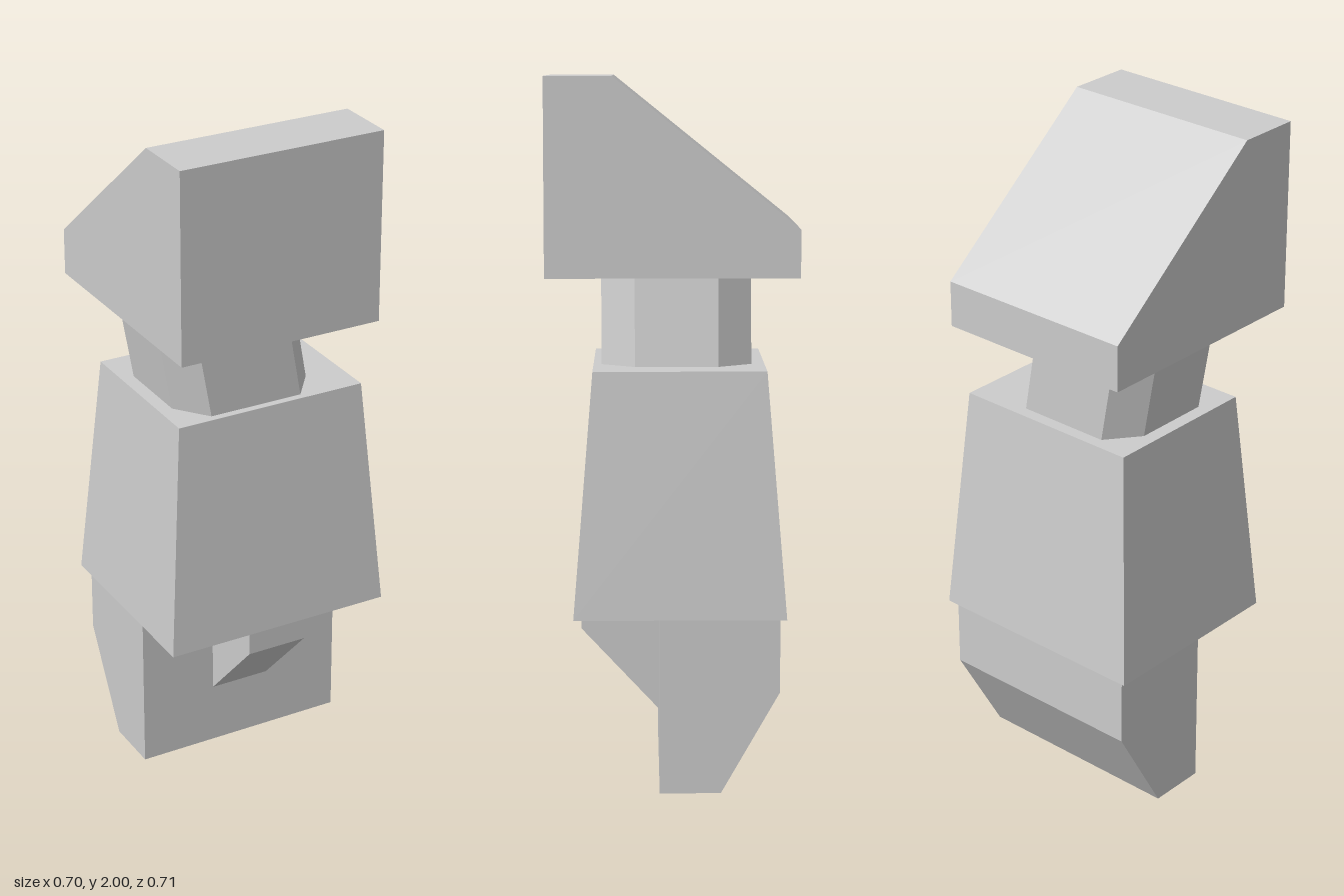
import * as THREE from 'three';

const material = new THREE.MeshStandardMaterial({ color: 0xcccccc, flatShading: true });

function addPart(group, name, geometry) {
  geometry.computeVertexNormals();
  const mesh = new THREE.Mesh(geometry, material);
  mesh.name = name;
  group.add(mesh);
}

const outline = (points) => new THREE.Shape(points.map(([a, b]) => new THREE.Vector2(a, b)));

// Side profile given as [z, y] points, extruded across x from x0 to x1
function sideProfile(points, x0, x1) {
  return new THREE.ExtrudeGeometry(outline(points), { depth: x1 - x0, bevelEnabled: false })
    .rotateY(-Math.PI / 2)
    .translate(x1, 0, 0);
}

// Box whose top and bottom rectangles [x0, x1, z0, z1] differ
function taperedBox(y0, bottom, y1, top) {
  const geometry = new THREE.BoxGeometry(1, 1, 1);
  const p = geometry.attributes.position;
  for (let i = 0; i < p.count; i++) {
    const upper = p.getY(i) > 0;
    const r = upper ? top : bottom;
    p.setXYZ(i, r[p.getX(i) > 0 ? 1 : 0], upper ? y1 : y0, r[p.getZ(i) > 0 ? 3 : 2]);
  }
  return geometry;
}

// Eight-sided column with cut corners, leaning along x
function leaningColumn(hx, hz, cutX, cutZ, y0, y1, x0, x1, z) {
  const a = hx - cutX, b = hz - cutZ;
  const shape = outline([[hx, -b], [hx, b], [a, hz], [-a, hz], [-hx, b], [-hx, -b], [-a, -hz], [a, -hz]]);
  const geometry = new THREE.ExtrudeGeometry(shape, { depth: y1 - y0, bevelEnabled: false })
    .rotateX(-Math.PI / 2)
    .translate(0, y0, z);
  const p = geometry.attributes.position;
  for (let i = 0; i < p.count; i++) {
    const t = (p.getY(i) - y0) / (y1 - y0);
    p.setX(i, p.getX(i) + x0 + (x1 - x0) * t);
  }
  return geometry;
}

export function createModel() {
  const group = new THREE.Group();

  // Block with a sloped back on top
  addPart(group, 'head', sideProfile(
    [[0.355, 1.445], [0.355, 2], [0.167, 2], [-0.355, 1.58], [-0.355, 1.445]], -0.35, 0.262));

  // Leaning neck
  addPart(group, 'neck', leaningColumn(0.215, 0.2125, 0.073, 0.095, 1.19, 1.445, -0.035, -0.08, -0.0125));

  // Tapered middle
  addPart(group, 'body', taperedBox(0.5, [-0.345, 0.347, -0.318, 0.277], 1.19, [-0.29, 0.293, -0.262, 0.222]));

  // Lower block with a chamfered back
  addPart(group, 'base', sideProfile(
    [[0.037, 0.5], [0.037, 0], [-0.135, 0], [-0.3, 0.29], [-0.3, 0.5]], -0.32, 0.327));

  // Wedge bracket on the front of the base
  addPart(group, 'frontBracket', sideProfile(
    [[0.037, 0.5], [0.26, 0.5], [0.26, 0.423], [0.037, 0.185]], -0.088, 0.095));

  return group;
}
